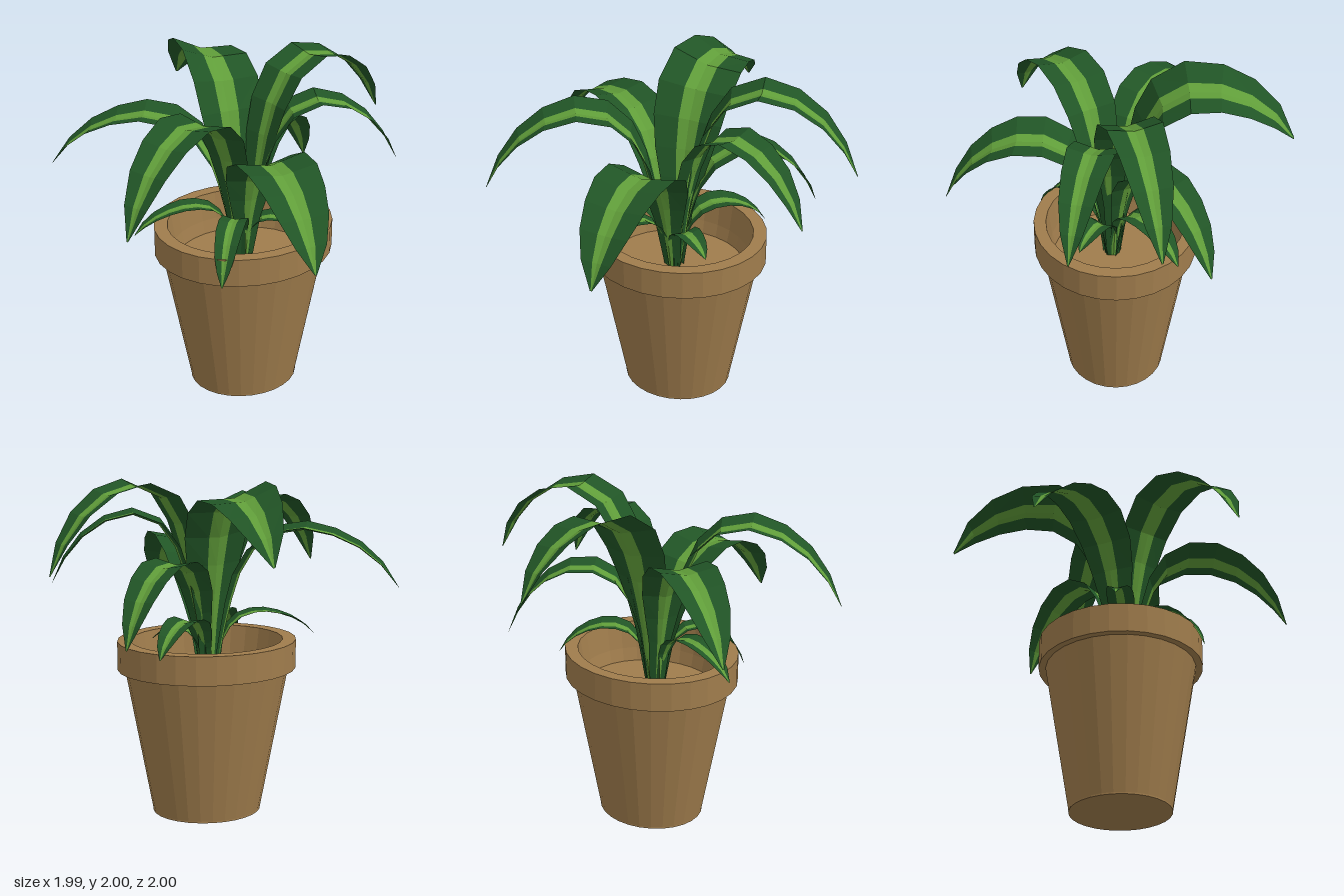
import * as THREE from 'three';

const darkGreen = new THREE.MeshStandardMaterial({ color: 0x215526, flatShading: true, side: THREE.DoubleSide });
darkGreen.name = 'dark green';
const lightGreen = new THREE.MeshStandardMaterial({ color: 0x609d39, flatShading: true, side: THREE.DoubleSide });
lightGreen.name = 'light green';
const clay = new THREE.MeshStandardMaterial({ color: 0x9f7c4c, flatShading: true });
clay.name = 'clay';

const BASE_Y = 0.8;            // soil level inside the pot
const CENTRE = [-0.03, 0.03];  // where the leaves meet
const ROWS = 11;
const COLUMNS = [-1, -0.3, 0, 0.3, 1];

// Leaf half-width along its length, as a fraction of the widest point
const WIDTHS = [[0, 0.25], [0.2, 0.42], [0.35, 0.76], [0.5, 1], [0.65, 0.96], [0.8, 0.74], [0.92, 0.4], [1, 0.03]];
function widthAt(s) {
  const k = Math.max(1, WIDTHS.findIndex(([t]) => t >= s - 1e-6));
  const [s0, w0] = WIDTHS[k - 1], [s1, w1] = WIDTHS[k];
  return w0 + (w1 - w0) * (s - s0) / (s1 - s0);
}

// Arching leaf: rises to its peak, then droops to the tip; the section is a shallow V
function leafGeometry({ tip, peak, half, roll = 0 }) {
  const out = new THREE.Vector3(tip[0] - CENTRE[0], 0, tip[2] - CENTRE[1]);
  const length = out.length();
  out.normalize();
  const rise = peak - BASE_Y, drop = peak - tip[1];
  const profile = [
    [0.04, BASE_Y], [0.12, BASE_Y + rise * 0.5], [0.195, BASE_Y + rise * 0.77], [0.3, BASE_Y + rise * 0.93],
    [0.46, peak], [0.62, peak - drop * 0.06], [0.78, peak - drop * 0.28], [0.91, peak - drop * 0.62], [1, tip[1]],
  ];
  const curve = new THREE.CatmullRomCurve3(profile.map(([r, y]) =>
    new THREE.Vector3(CENTRE[0] + out.x * r * length, y, CENTRE[1] + out.z * r * length)));
  const across = new THREE.Vector3(0, 1, 0).cross(out);

  const positions = [];
  for (let i = 0; i <= ROWS; i++) {
    const s = i / ROWS;
    const point = curve.getPointAt(s), tangent = curve.getTangentAt(s);
    const side = across.clone().applyAxisAngle(tangent, -roll * s);
    const normal = tangent.clone().cross(side);
    const w = half * widthAt(s);
    const fold = 0.2 + 0.3 * Math.max(0, 0.5 - s);
    for (const u of COLUMNS) {
      const p = point.clone().addScaledVector(side, u * w).addScaledVector(normal, Math.abs(u) * w * fold);
      positions.push(p.x, p.y, p.z);
    }
  }

  // One group per lengthwise strip: dark margins, light middle
  const geometry = new THREE.BufferGeometry();
  const index = [], n = COLUMNS.length;
  for (let j = 0; j < n - 1; j++) {
    geometry.addGroup(index.length, ROWS * 6, j === 0 || j === n - 2 ? 0 : 1);
    for (let i = 0; i < ROWS; i++) {
      const a = i * n + j, b = a + n;
      index.push(a, b, a + 1, b, b + 1, a + 1);
    }
  }
  geometry.setAttribute('position', new THREE.Float32BufferAttribute(positions, 3));
  geometry.setIndex(index);
  geometry.computeVertexNormals();
  return geometry;
}

export function createModel() {
  const model = new THREE.Group();
  model.name = 'pottedPlant';

  // Pot with overhanging rim, hollow top and inner floor, slightly oval
  const potProfile = [
    [0, 0], [0.327, 0], [0.327, 0.01], [0.49, 0.875], [0.535, 0.875], [0.535, 1.045],
    [0.455, 1.045], [0.43, 0.88], [0.41, BASE_Y], [0, BASE_Y],
  ].map(([r, y]) => new THREE.Vector2(r, y));
  const pot = new THREE.Mesh(new THREE.LatheGeometry(potProfile, 28), clay);
  pot.name = 'pot';
  pot.position.set(-0.015, 0, 0.01);
  pot.scale.z = 0.9;
  model.add(pot);

  // Tip position, peak height and half-width of each leaf
  const leaves = {
    backLeaf: { tip: [0, 1.62, -1], peak: 1.93, half: 0.22, roll: -0.35 },
    leftLeaf: { tip: [0.99, 1.51, -0.22], peak: 1.97, half: 0.16 },
    frontLeftLeaf: { tip: [0.85, 1.39, 0.27], peak: 1.78, half: 0.14 },
    backLeftLeaf: { tip: [0.65, 1.13, -0.51], peak: 1.54, half: 0.14 },
    frontLeaf: { tip: [-0.06, 1.19, 1], peak: 1.59, half: 0.21 },
    frontRightLeaf: { tip: [-0.95, 1.39, 0.58], peak: 1.83, half: 0.17 },
    backRightLeaf: { tip: [-0.99, 1.38, -0.53], peak: 1.7, half: 0.17 },
    smallRightLeaf: { tip: [-0.67, 1.05, -0.07], peak: 1.19, half: 0.08 },
    smallFrontRightLeaf: { tip: [-0.36, 0.9, 0.46], peak: 1.17, half: 0.08 },
    smallBackLeftLeaf: { tip: [0.4, 1.02, -0.34], peak: 1.19, half: 0.1 },
    smallFrontLeftLeaf: { tip: [0.26, 1.02, 0.22], peak: 1.09, half: 0.08 },
  };
  for (const [name, leaf] of Object.entries(leaves)) {
    const mesh = new THREE.Mesh(leafGeometry(leaf), [darkGreen, lightGreen]);
    mesh.name = name;
    model.add(mesh);
  }
  return model;
}
